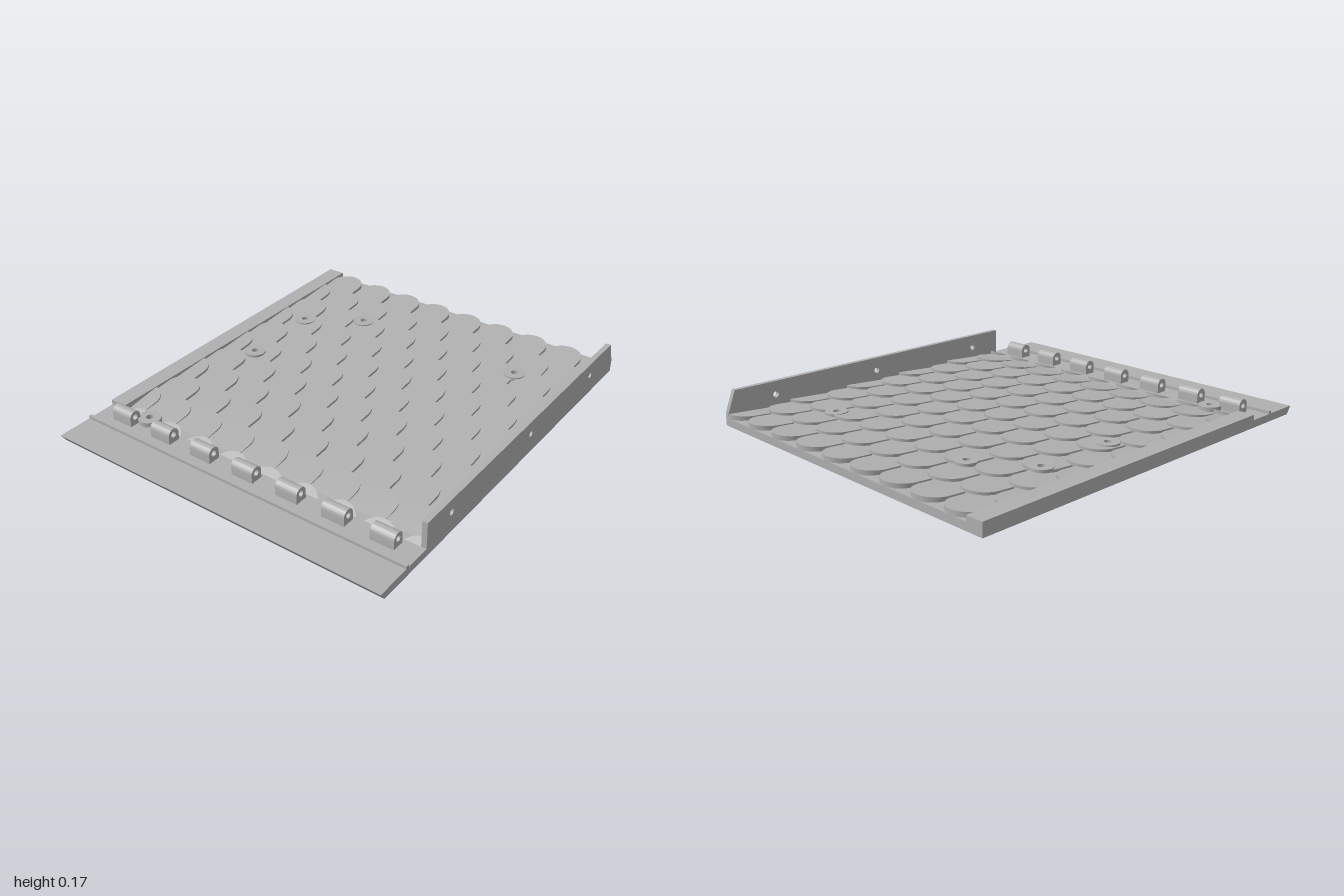
import * as THREE from 'three';
import { toCreasedNormals } from 'three/addons/utils/BufferGeometryUtils.js';

const TOP = 0.037;              // top of the base plate
const HOLE = 0.017;             // screw hole radius
const X0 = -0.775, X1 = 0.835;  // span of the scale field
const SCREWS = [[-0.36, -0.62], [0.53, -0.62], [-0.62, -0.455], [-0.62, -0.05], [-0.62, 0.685]];

const circle = (x, y, r) => new THREE.Path().absarc(x, y, r, 0, Math.PI * 2, true);
const polygon = pts => new THREE.Shape(pts.map(([x, y]) => new THREE.Vector2(x, y)));

// Plan outline (x, -z) extruded upwards
function extrudeUp(shape, y0, y1) {
  const g = new THREE.ExtrudeGeometry(shape, { depth: y1 - y0, bevelEnabled: false, curveSegments: 24 });
  return g.rotateX(-Math.PI / 2).translate(0, y0, 0);
}
// Side outline (-z, y) extruded along x
function extrudeAcross(shape, x0, x1) {
  const g = new THREE.ExtrudeGeometry(shape, { depth: x1 - x0, bevelEnabled: false, curveSegments: 24 });
  return toCreasedNormals(g.rotateY(Math.PI / 2).translate(x0, 0, 0), 0.5);
}

// Round-ended scale: raised at the back, sinking towards the front
function scaleGeometry(cx, z0, end, yBack, yFront) {
  const R = 0.0875, clear = HOLE + 0.003, raw = [];
  for (let i = 0; i <= 24; i++) {
    const a = Math.PI * (1 - i / 24);
    raw.push([cx + R * Math.cos(a), Math.min(end, z0 + R - R * Math.sin(a))]);
  }
  const start = Math.min(end, z0 + R), n = 24;
  for (let i = 1; i <= n; i++) raw.push([cx + R, start + (end - start) * i / n]);
  for (let i = n; i >= 1; i--) raw.push([cx - R, start + (end - start) * i / n]);

  const inside = (x, z) => Math.abs(x - cx) < R && z > z0 && z < end &&
    (z > z0 + R || Math.hypot(x - cx, z - z0 - R) < R);
  const holes = [];
  for (const [hx, hz] of SCREWS) {
    const hit = raw.filter(([x, z]) => Math.hypot(x - hx, z - hz) < clear);
    if (!hit.length && inside(hx, hz)) holes.push(circle(hx, -hz, clear));
    // A hole on the edge becomes a notch
    for (const p of hit) p[0] = hx - Math.sign(hx - cx) * Math.sqrt(clear ** 2 - (p[1] - hz) ** 2);
  }
  const pts = [];
  for (const [x, z] of raw) {
    const p = [Math.min(X1, Math.max(X0, x)), -z], q = pts[pts.length - 1];
    if (!q || Math.hypot(p[0] - q[0], p[1] - q[1]) > 1e-4) pts.push(p);
  }
  const shape = polygon(pts);
  shape.holes.push(...holes);
  const g = extrudeUp(shape, 0, 1), v = g.attributes.position;
  for (let i = 0; i < v.count; i++) {
    const t = (v.getZ(i) - z0) / (end - z0);
    v.setY(i, v.getY(i) > 0.5 ? yBack + (yFront - yBack) * t : 0.03);
  }
  g.computeVertexNormals();
  return toCreasedNormals(g, 0.5);
}

export function createModel() {
  const model = new THREE.Group();
  model.name = 'scaledPanel';
  const grey = new THREE.MeshStandardMaterial({ color: 0xb0b0b0 });
  grey.name = 'grey';
  const add = (name, geometry, parent = model) => {
    const mesh = new THREE.Mesh(geometry, grey);
    mesh.name = name;
    parent.add(mesh);
    return mesh;
  };
  const group = name => {
    const g = new THREE.Group();
    g.name = name;
    model.add(g);
    return g;
  };

  // Base plate with screw holes and an undercut front edge
  const plate = polygon([[-0.86, -1], [0.86, -1], [0.86, 1], [-0.86, 1]]);
  SCREWS.forEach(([x, z]) => plate.holes.push(circle(x, -z, HOLE)));
  const base = extrudeUp(plate, 0, TOP), v = base.attributes.position;
  for (let i = 0; i < v.count; i++) if (v.getZ(i) > 0.99 && v.getY(i) < 0.01) v.setZ(i, 0.975);
  base.computeVertexNormals();
  add('basePlate', base);

  // Low rail on the right edge
  const rail = new THREE.BoxGeometry(0.085, 0.035, 1.69);
  add('sideRail', rail.translate(-0.8175, 0.0455, -0.155));

  // Tall wall on the left edge with three pin holes
  const wall = polygon([[-0.69, 0.02], [1, 0.02], [1, 0.06], [0.96, 0.165], [-0.69, 0.165]]);
  [0.51, -0.15, -0.745].forEach(z => wall.holes.push(circle(-z, 0.1, 0.015)));
  add('sideWall', extrudeAcross(wall, 0.835, 0.86));

  // Thin ridge across the front
  add('frontRidge', new THREE.BoxGeometry(1.72, 0.02, 0.016).translate(0, 0.041, 0.823));

  // Staggered rows of overlapping scales
  const scales = group('scales');
  for (let row = 0; row <= 10; row++) {
    const z = -1 + row * 0.165, odd = row % 2;
    for (let k = 0; k <= 8; k++) {
      const x = (odd ? -0.785 : -0.69) + k * 0.1905;
      const g = row === 10
        ? scaleGeometry(x, z, 0.692, 0.055, TOP)
        : scaleGeometry(x, z, Math.min(z + 0.33, 0.66), 0.06, 0.036);
      add('scale', g, scales);
    }
  }

  // Raised rings around the screw holes
  const bosses = group('screwBosses');
  for (const [x, z] of SCREWS) {
    const ring = new THREE.Shape().absarc(x, -z, 0.053, 0, Math.PI * 2);
    ring.holes.push(circle(x, -z, HOLE));
    add('screwBoss', toCreasedNormals(extrudeUp(ring, 0.03, 0.06), 0.5), bosses);
  }

  // Hinge knuckles with a pin bore
  const hinge = group('hingeKnuckles');
  const knuckle = new THREE.Shape();
  knuckle.moveTo(-0.77, 0.03).lineTo(-0.71, 0.03).lineTo(-0.71, 0.075);
  knuckle.absarc(-0.74, 0.075, 0.03, 0, Math.PI);
  knuckle.closePath();
  knuckle.holes.push(circle(-0.74, 0.075, 0.014));
  const knuckleGeometry = extrudeAcross(knuckle, -0.0565, 0.0565);
  for (let i = 0; i < 7; i++) {
    add('hingeKnuckle', knuckleGeometry, hinge).position.x = -0.71 + i * 0.236;
  }
  return model;
}
